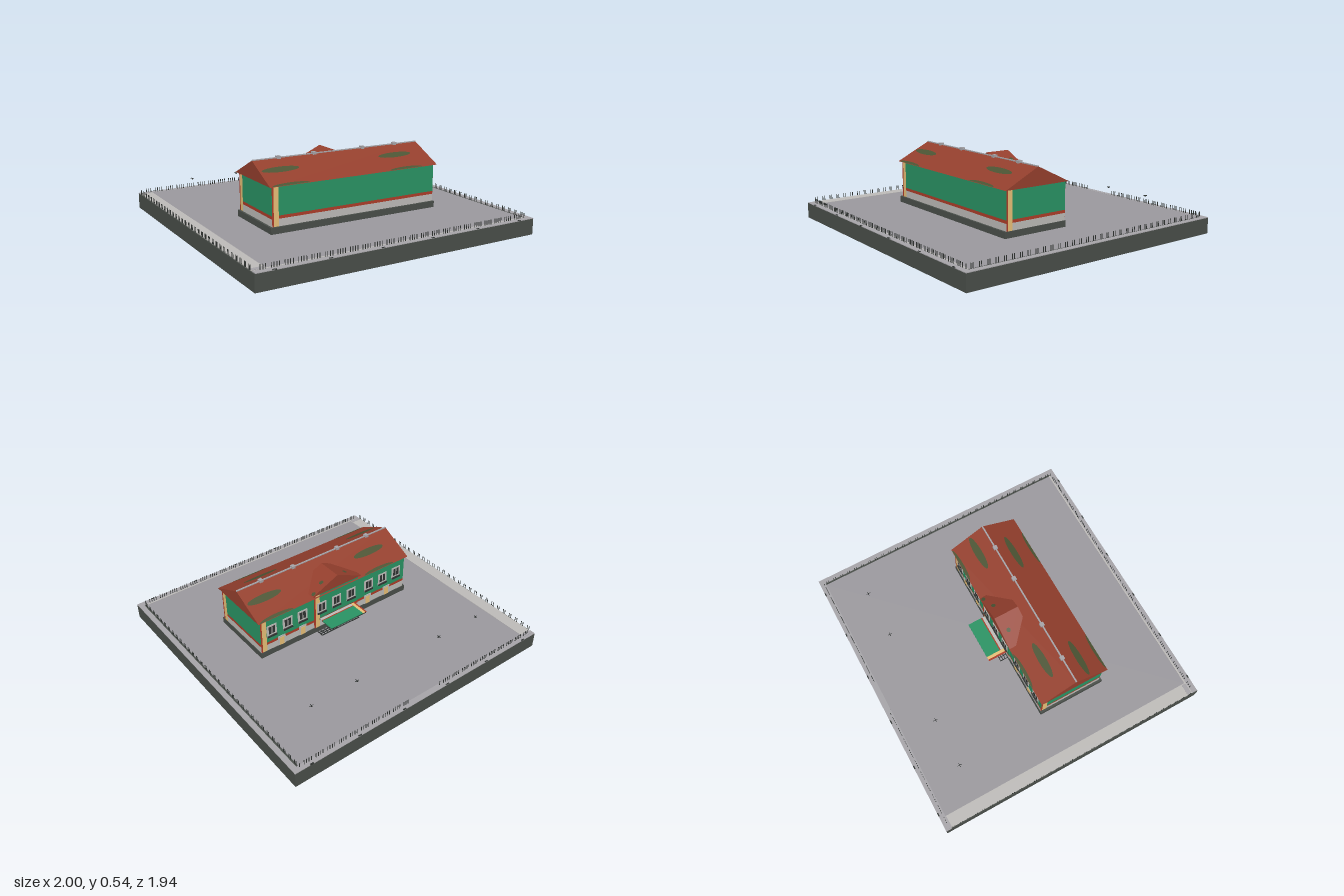
import * as THREE from 'three';

const mat = (name, color, both) => {
  const m = new THREE.MeshStandardMaterial({ color });
  m.name = name;
  if (both) m.side = THREE.DoubleSide;
  return m;
};

export function createModel() {
  const M = {
    plinth: mat('dark stone', 0x494e49),
    paving: mat('grey paving', 0x9a989d),
    kerb: mat('kerb grey', 0xa5a3a7),
    pale: mat('pale plaster', 0xbcbab7),
    green: mat('green wall', 0x299263),
    red: mat('red trim', 0xac3c28),
    roof: mat('red roof', 0x943f2d),
    moss: mat('moss', 0x4c5434, true),
    beige: mat('beige plaster', 0xe6be76),
    dark: mat('dark metal', 0x2f3331),
  };
  const root = new THREE.Group();

  // Box given by its limits on each axis
  const box = (parent, name, m, x0, x1, y0, y1, z0, z1) => {
    const mesh = new THREE.Mesh(new THREE.BoxGeometry(x1 - x0, y1 - y0, z1 - z0), m);
    mesh.position.set((x0 + x1) / 2, (y0 + y1) / 2, (z0 + z1) / 2);
    mesh.name = name;
    parent.add(mesh);
    return mesh;
  };
  const group = (name, parent = root) => {
    const g = new THREE.Group();
    g.name = name;
    parent.add(g);
    return g;
  };

  // Ground slab with its border strips
  const ground = group('ground');
  box(ground, 'slab', M.plinth, -1, 1, 0, 0.107, -0.97, 0.97);
  box(ground, 'paving', M.paving, -0.91, 0.95, 0.107, 0.11, -0.93, 0.92);
  box(ground, 'frontKerb', M.kerb, -0.995, 1, 0.107, 0.111, 0.93, 0.97);
  box(ground, 'frontLine', M.pale, -0.91, 0.95, 0.107, 0.112, 0.92, 0.93);
  box(ground, 'backKerb', M.kerb, -1, 1, 0.107, 0.111, -0.97, -0.93);
  box(ground, 'rightKerb', M.kerb, 0.964, 1, 0.107, 0.111, -0.93, 0.93);
  box(ground, 'leftKerb', M.pale, -0.994, -0.91, 0.107, 0.112, -0.93, 0.93);
  for (const z of [-0.94, 0.91])
    box(ground, 'cornerPad', M.kerb, -0.99, -0.915, 0.107, 0.114, z - 0.015, z + 0.015);
  for (const s of [-1, 1])
    for (const x of [-0.88, -0.53, -0.18, 0.18, 0.53, 0.88])
      box(ground, 'drain', M.dark, x - 0.012, x + 0.012, 0.107, 0.113, s * 0.966 - 0.004, s * 0.966 + 0.004);

  // Fence posts on all four sides, with a gap for the back entrance
  const posts = [];
  for (let i = 0; i <= 114; i++) {
    const x = -0.95 + i / 60;
    if (i % 5 === 3) continue;
    posts.push([x, 0.935]);
    if (Math.abs(x) > 0.13) posts.push([x, -0.942]);
  }
  for (let i = 0; i < 34; i++)
    for (const d of [0, 0.015]) {
      const z = -0.92 + i * 0.055 + d;
      posts.push([0.957, z], [-0.996, z]);
    }
  const postGeo = new THREE.BoxGeometry(0.0035, 0.032, 0.0035);
  const fence = group('fence');
  for (const [x, z] of posts) {
    const p = new THREE.Mesh(postGeo, M.dark);
    p.name = 'fencePost';
    p.position.set(x, 0.126, z);
    fence.add(p);
  }

  // Small hanging lamps over the yard
  for (const x of [-0.685, -0.345, 0.34, 0.685]) {
    const lamp = group('lamp');
    lamp.position.set(x, 0.237, -0.7);
    box(lamp, 'lampBar', M.dark, -0.015, 0.015, 0, 0.002, -0.0015, 0.0015);
    box(lamp, 'lampCross', M.dark, -0.0015, 0.0015, 0, 0.002, -0.015, 0.015);
    box(lamp, 'lampBulb', M.dark, -0.003, 0.003, -0.007, 0, -0.003, 0.003);
  }

  // House body
  const house = group('house');
  box(house, 'foundation', M.plinth, -0.625, 0.615, 0.11, 0.152, -0.055, 0.425);
  box(house, 'core', M.green, -0.605, 0.605, 0.15, 0.405, -0.045, 0.405);

  // Facade plate: pale base, red band, green field, beige strip and red edge at its left
  const facade = (name, w, h, base = 0.05, band = 0.02, strip = 0.045) => {
    const g = group(name, house);
    const a = -w / 2, b = w / 2, t = 0.006;
    box(g, 'base', M.pale, a + strip, b, 0, base, 0, t);
    box(g, 'band', M.red, a + strip, b, base, base + band, 0, t);
    box(g, 'field', M.green, a + strip, b, base + band, h, 0, t);
    box(g, 'strip', M.beige, a + 0.011, a + strip, 0, h, 0, t);
    box(g, 'edge', M.red, a, a + 0.011, 0, h, 0, t);
    return g;
  };
  const place = (g, x, y, z, ry) => {
    g.position.set(x, y, z);
    g.rotation.y = ry;
  };
  place(facade('frontWall', 1.22, 0.255), 0, 0.15, 0.405, 0);
  place(facade('backWall', 1.22, 0.255), 0, 0.15, -0.045, Math.PI);
  place(facade('leftWall', 0.46, 0.255), 0.605, 0.15, 0.18, Math.PI / 2);
  place(facade('rightWall', 0.46, 0.255), -0.605, 0.15, 0.18, -Math.PI / 2);
  place(facade('entranceWall', 0.37, 0.28), 0, 0.15, -0.05, Math.PI);

  // Canopy on a dark frame, with the door below
  const canopy = facade('canopy', 0.3, 0.13, 0.022, 0.008, 0.032);
  canopy.position.set(-0.003, 0.217, -0.064);
  canopy.rotation.x = -Math.PI / 2;
  box(house, 'canopyFrame', M.dark, -0.15, 0.144, 0.211, 0.217, -0.193, -0.055);
  box(house, 'door', M.dark, -0.04, 0.04, 0.15, 0.21, -0.06, -0.054);

  // Doorstep grating of crossed bars
  const step = group('stepGrating', house);
  for (let i = 0; i <= 12; i++) {
    const x = -0.16 + i * 0.32 / 12;
    box(step, 'crossBar', M.dark, x - 0.002, x + 0.002, 0.11, 0.115, -0.11, -0.055);
  }
  for (const z of [-0.108, -0.09, -0.072])
    box(step, 'longBar', M.dark, -0.16, 0.16, 0.11, 0.116, z - 0.002, z + 0.002);

  // Back windows with frames, panes and shallow sills
  for (const x of [0.525, 0.4, 0.28, 0.125, 0, -0.125, -0.285, -0.41, -0.535]) {
    const w = group('window', house);
    w.position.set(x, 0.305, Math.abs(x) < 0.18 ? -0.056 : -0.051);
    box(w, 'frame', M.pale, -0.038, 0.038, -0.045, 0.045, -0.004, 0);
    for (const s of [-1, 1])
      box(w, 'pane', M.dark, s * 0.014 - 0.01, s * 0.014 + 0.01, -0.022, 0.034, -0.005, 0);
    box(w, 'sill', M.dark, -0.036, 0.036, -0.045, -0.034, -0.012, -0.003);
  }

  // Pale side doors with beige panels
  for (const x of [0.45, 0.28, -0.28, -0.45]) {
    box(house, 'sideDoor', M.pale, x - 0.03, x + 0.03, 0.152, 0.225, -0.054, -0.05);
    box(house, 'doorPanel', M.beige, x - 0.018, x + 0.018, 0.152, 0.212, -0.056, -0.05);
  }

  // Main roof and entrance gable as extruded triangles
  const prism = (name, pts, depth) => {
    const shape = new THREE.Shape(pts.map(([x, y]) => new THREE.Vector2(x, y)));
    const geo = new THREE.ExtrudeGeometry(shape, { depth, bevelEnabled: false });
    const mesh = new THREE.Mesh(geo, M.roof);
    mesh.name = name;
    house.add(mesh);
    return mesh;
  };
  const ridgeZ = 0.183, ridgeY = 0.525, eaveY = 0.405, run = 0.247;
  const main = prism('mainRoof', [[-ridgeZ - run, eaveY], [-ridgeZ + run, eaveY], [-ridgeZ, ridgeY]], 1.257);
  main.rotation.y = Math.PI / 2;
  main.position.x = -0.63;
  const gable = prism('entranceGable', [[-0.205, 0.428], [0.205, 0.428], [0, 0.52]], 0.175);
  gable.position.z = -0.066;

  // Ridge cap with chimney blocks
  box(house, 'ridgeCap', M.kerb, -0.63, 0.627, 0.521, 0.529, ridgeZ - 0.005, ridgeZ + 0.005);
  for (const x of [-0.448, -0.188, 0.183, 0.442])
    box(house, 'chimney', M.kerb, x - 0.013, x + 0.013, 0.515, 0.537, ridgeZ - 0.014, ridgeZ + 0.014);

  // Moss lying on a surface given by heightAt: whole ellipses, or halves at the eaves
  const moss = (x, z, rx, rz, half, dir, heightAt) => {
    const geo = new THREE.CircleGeometry(1, 32, 0, half ? Math.PI : Math.PI * 2);
    const p = geo.attributes.position;
    for (let i = 0; i < p.count; i++) {
      const px = x + p.getX(i) * rx, pz = z + dir * p.getY(i) * rz;
      p.setXYZ(i, px, heightAt(px, pz) + 0.002, pz);
    }
    // Keep the faces turned upwards
    if (dir > 0) geo.setIndex(Array.from(geo.index.array).reverse());
    geo.computeVertexNormals();
    const mesh = new THREE.Mesh(geo, M.moss);
    mesh.name = 'mossPatch';
    house.add(mesh);
  };
  const roofY = (x, z) => ridgeY - Math.abs(z - ridgeZ) * (ridgeY - eaveY) / run;
  const gableY = x => 0.52 - Math.abs(x) * 0.092 / 0.205;
  for (const x of [-0.37, 0.485]) {
    moss(x - (x < 0 ? 0.015 : 0), 0.076, 0.13, 0.024, false, -1, roofY);
    moss(x, -0.063, 0.13, 0.02, true, 1, roofY);
  }
  for (const x of [-0.485, 0.375]) {
    moss(x, 0.29, 0.13, 0.024, false, -1, roofY);
    moss(x, 0.429, 0.13, 0.02, true, -1, roofY);
  }
  for (const [x, z] of [[-0.1, -0.015], [0.1, -0.02], [0.185, -0.05]])
    moss(x, z, 0.014, 0.014, false, -1, gableY);
  return root;
}
